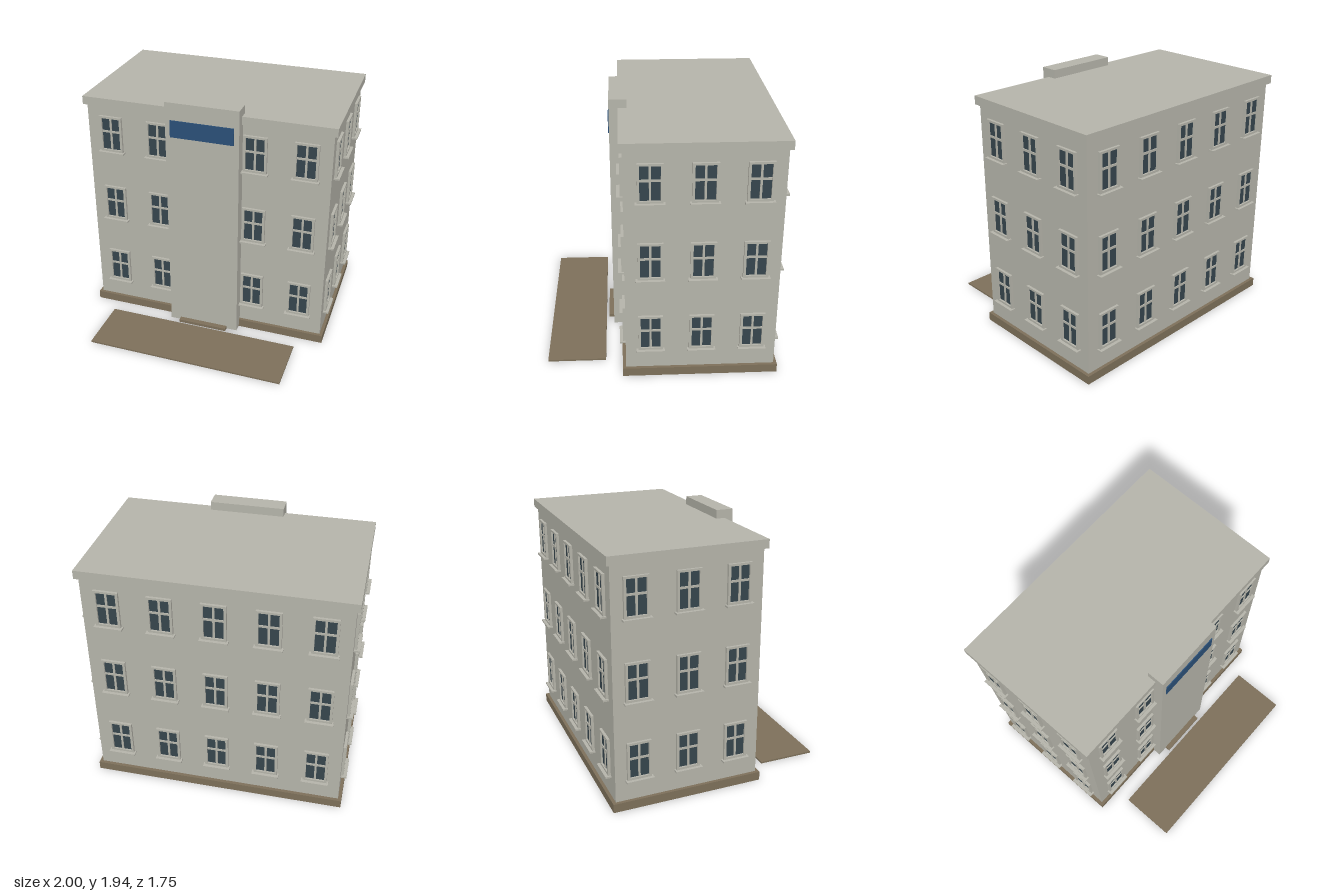
import * as THREE from 'three';

const mat = (name, color) => {
  const m = new THREE.MeshStandardMaterial({ color });
  m.name = name;
  return m;
};

export function createModel() {
  const wall = mat('warm grey plaster', 0xb5b4aa);
  const stone = mat('brown stone', 0x7d705a);
  const glass = mat('dark glass', 0x36454d);
  const blue = mat('blue sign', 0x2b5078);

  const model = new THREE.Group();
  model.name = 'building';

  // Box given by its minimum and maximum on each axis
  const box = (parent, name, material, [x0, x1], [y0, y1], [z0, z1]) => {
    const mesh = new THREE.Mesh(new THREE.BoxGeometry(x1 - x0, y1 - y0, z1 - z0), material);
    mesh.position.set((x0 + x1) / 2, (y0 + y1) / 2, (z0 + z1) / 2);
    mesh.name = name;
    parent.add(mesh);
  };

  // Main block with plinth and flat roof slab
  box(model, 'walls', wall, [-0.955, 0.955], [0.06, 1.82], [-0.832, 0.278]);
  box(model, 'plinth', stone, [-0.98, 0.98], [0, 0.067], [-0.857, 0.303]);
  box(model, 'roofSlab', wall, [-0.98, 0.98], [1.808, 1.873], [-0.857, 0.303]);

  // Entrance tower, sign, doorstep and forecourt
  box(model, 'entranceTower', wall, [-0.285, 0.285], [0.002, 1.938], [0.236, 0.369]);
  box(model, 'signBoard', blue, [-0.246, 0.246], [1.668, 1.802], [0.367, 0.376]);
  box(model, 'doorstep', stone, [-0.2, 0.2], [0.003, 0.026], [0.36, 0.41]);
  box(model, 'forecourt', stone, [-0.78, 0.78], [0, 0.013], [0.432, 0.877]);

  // One window facing +z; y = 0 is the underside of the sill
  const makeWindow = () => {
    const g = new THREE.Group();
    g.name = 'window';
    box(g, 'windowGlass', glass, [-0.075, 0.075], [0.025, 0.29], [-0.002, 0.006]);
    for (const s of [-1, 1]) {
      const c = s * 0.0815;
      box(g, 'frameSide', wall, [c - 0.0095, c + 0.0095], [0.013, 0.302], [-0.005, 0.02]);
    }
    box(g, 'frameTop', wall, [-0.072, 0.072], [0.286, 0.302], [-0.005, 0.02]);
    box(g, 'frameBottom', wall, [-0.072, 0.072], [0.013, 0.029], [-0.005, 0.02]);
    box(g, 'mullion', wall, [-0.008, 0.008], [0.029, 0.286], [-0.004, 0.013]);
    box(g, 'transom', wall, [-0.072, 0.072], [0.169, 0.185], [-0.004, 0.0135]);
    box(g, 'sill', wall, [-0.104, 0.104], [0, 0.013], [-0.005, 0.044]);
    return g;
  };

  const place = (x, y, z, turn) => {
    const w = makeWindow();
    w.position.set(x, y, z);
    w.rotation.y = turn;
    model.add(w);
  };

  // Three floors of windows on all four sides
  for (let floor = 0; floor < 3; floor++) {
    const y = 0.219 + floor * 0.602;
    for (let i = -2; i <= 2; i++) {
      const x = i * 0.383;
      place(x, y, -0.832, Math.PI);
      if (i !== 0) place(x, y, 0.278, 0);
    }
    for (let i = -1; i <= 1; i++) {
      const z = -0.28 + i * 0.374;
      place(0.955, y, z, Math.PI / 2);
      place(-0.955, y, z, -Math.PI / 2);
    }
  }
  return model;
}
